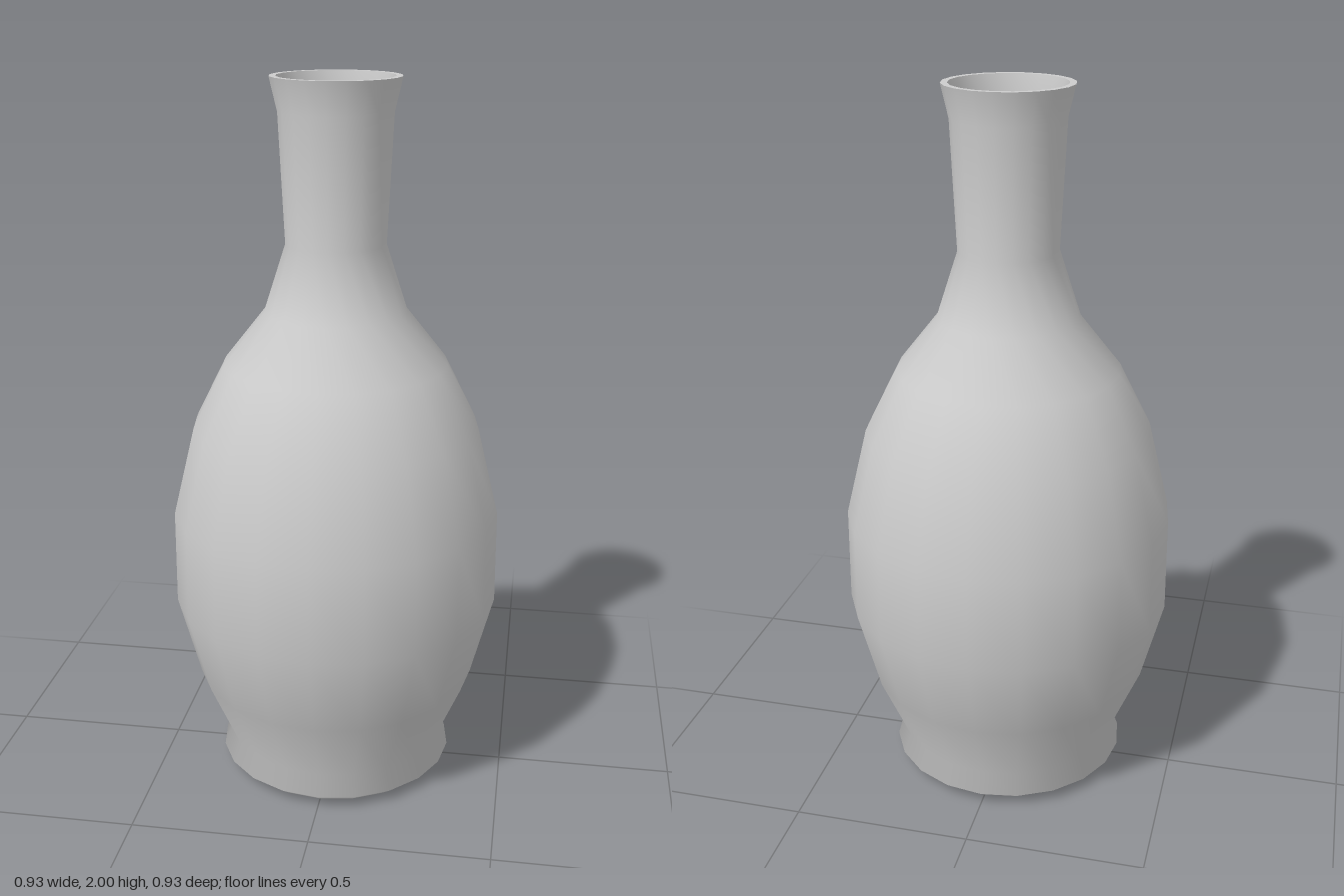
import * as THREE from 'three';

const SIDES = 20;

export function createModel() {
  const model = new THREE.Group();
  model.name = 'vase';
  const material = new THREE.MeshStandardMaterial({ color: 0xcccccc });

  // Profiles are [radius, height] pairs; outside runs upward, inside runs downward
  const addLathe = (name, profile) => {
    const points = profile.map(([r, y]) => new THREE.Vector2(r, y));
    const mesh = new THREE.Mesh(new THREE.LatheGeometry(points, SIDES), material);
    mesh.name = name;
    model.add(mesh);
  };

  // Outer wall from the flared foot, over the belly, to the mouth
  const outer = [
    [0.295, 0], [0.34, 0.035], [0.318, 0.095], [0.402, 0.29], [0.465, 0.53],
    [0.463, 0.8], [0.402, 1.05], [0.312, 1.23], [0.198, 1.375],
    [0.138, 1.56], [0.155, 1.91], [0.176, 2],
  ];
  // Inner wall follows the outer one at the wall thickness
  const wall = 0.018;
  const inner = outer.slice(2).reverse().map(([r, y]) => [r - wall, y]);

  addLathe('outerWall', outer);
  addLathe('rim', [outer.at(-1), inner[0]]);
  addLathe('innerWall', [...inner, [0.25, 0.05], [0, 0.04]]);

  // Flat underside
  addLathe('base', [[0, 0], outer[0]]);

  return model;
}
